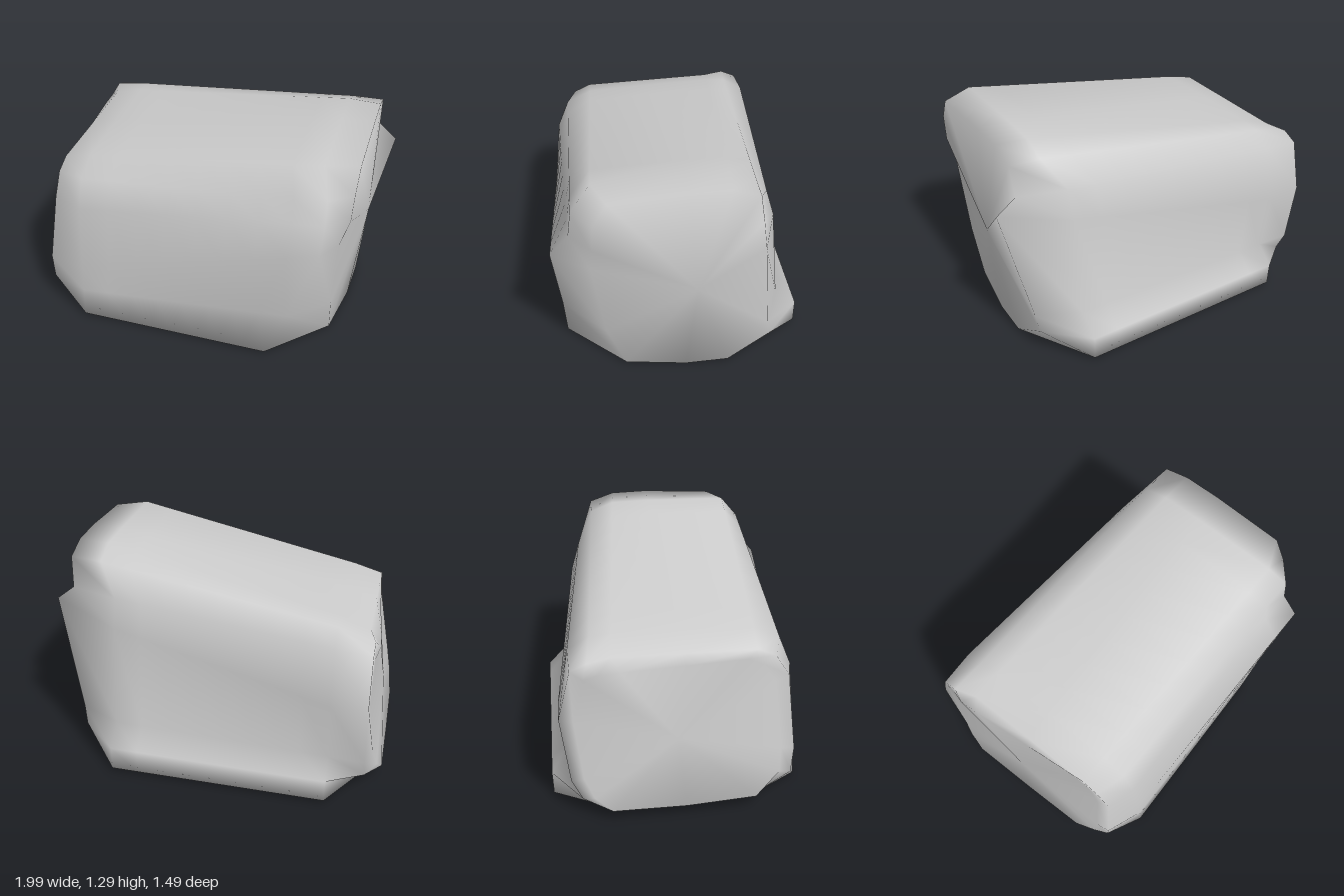
import * as THREE from 'three';
import { mergeVertices } from 'three/addons/utils/BufferGeometryUtils.js';

const clamp = (v) => Math.min(1, Math.max(0, v));

// Cross-sections as [z, y], from the front foot up, over the top and down the back
const leftEnd = [[0.45, 0.04], [0.6, 0.2], [0.61, 0.36], [0.57, 0.8], [0.49, 0.93], [0.39, 0.975], [0, 0.98], [-0.4, 0.985],
  [-0.53, 0.98], [-0.62, 0.94], [-0.69, 0.65], [-0.64, 0.25], [-0.58, 0.12], [-0.47, 0.03], [0, 0.02]];
const leftBody = [[0.69, 0.015], [0.68, 0.2], [0.665, 0.36], [0.62, 0.78], [0.55, 0.95], [0.4, 1.02], [0, 1.035], [-0.38, 1.04],
  [-0.5, 1.03], [-0.62, 0.96], [-0.685, 0.63], [-0.635, 0.26], [-0.745, 0.16], [-0.74, 0.02], [0, 0.015]];
const rightBody = [[0.68, 0.01], [0.695, 0.35], [0.74, 0.87], [0.635, 0.99], [0.615, 1.14], [0.5, 1.28], [0, 1.29], [-0.24, 1.285],
  [-0.38, 1.23], [-0.48, 1.05], [-0.53, 0.88], [-0.59, 0.27], [-0.72, 0.165], [-0.72, 0.02], [0, 0.005]];
const rightEnd = [[0.35, 0.01], [0.46, 0.3], [0.53, 0.8], [0.52, 0.97], [0.51, 1.13], [0.43, 1.27], [0, 1.295], [-0.22, 1.29],
  [-0.37, 1.24], [-0.4, 1.06], [-0.39, 0.97], [-0.48, 0.28], [-0.5, 0.17], [-0.25, 0.01], [0, 0]];

// The left end leans inward, more so at the front, and is cut off at the back corner
const leftX = (z, y) => -1 + 0.07 * y + 0.1 * y * (z + 0.5) + 0.4 * Math.max(0, -0.46 - z);
const leftEdgeX = (z, y) => (z < -0.5 ? -0.9 : z > 0.5 && y > 0.1 && y < 0.6 ? -0.92 : -0.86);

// The front foot stops short of the overhanging ridge peak; the back is shorter too
const bodyX = (z, y) => {
  if (z > 0.55) return Math.min(0.76, 0.46 + 0.36 * y);
  return z < -0.45 ? 0.6 : 0.71;
};

// The right end has a flap bulging out behind its front block
const rightX = (z, y) => 0.83 + 0.05 * y
  + (0.03 + 0.09 * y) * clamp((0.4 - z) / 0.8) * clamp((1.06 - y) / 0.06);
const rightEdgeX = (z, y) => {
  const inset = z < -0.45 ? 0.05 : z > 0.3 && y < 0.9 ? 0.04 : 0;
  return rightX(z, y) - inset;
};

const ring = (profile, scale, cz, cy, xAt) => profile.map(([z, y]) => {
  const pz = cz + (z - cz) * scale, py = cy + (y - cy) * scale;
  return new THREE.Vector3(xAt(pz, py), py, pz);
});

function rockGeometry() {
  const stations = [
    ...[0, 0.88].map((s) => ring(leftEnd, s, -0.05, 0.5, leftX)),
    ring(leftEnd, 1, 0, 0, leftEdgeX),
    ring(leftBody, 1, 0, 0, () => -0.69),
    ring(rightBody, 1, 0, 0, bodyX),
    ring(rightEnd, 1, 0, 0, rightEdgeX),
    ring(rightEnd, 0, -0.05, 0.65, rightX),
  ];

  // Fill in the long middle span so its twisted faces stay smooth
  const rings = [];
  stations.forEach((station, i) => {
    const steps = i === 3 ? 8 : 1;
    for (let k = 0; k < steps; k++) {
      rings.push(k ? station.map((p, j) => p.clone().lerp(stations[i + 1][j], k / steps)) : station);
    }
  });

  const n = leftEnd.length;
  const positions = rings.flat().flatMap((p) => [p.x, p.y, p.z]);
  const index = [];
  for (let i = 0; i < rings.length - 1; i++) {
    for (let j = 0; j < n; j++) {
      const a = i * n + j, b = i * n + (j + 1) % n, c = a + n, d = b + n;
      index.push(a, c, b, b, c, d);
    }
  }
  const loops = new THREE.BufferGeometry();
  loops.setAttribute('position', new THREE.Float32BufferAttribute(positions, 3));
  loops.setIndex(index);
  const skin = mergeVertices(loops, 1e-4);
  skin.computeVertexNormals();
  return skin;
}

export function createModel() {
  const stone = new THREE.MeshStandardMaterial({ color: 0xcccccc });
  stone.name = 'stone grey';
  const rock = new THREE.Mesh(rockGeometry(), stone);
  rock.name = 'boulder';
  const group = new THREE.Group();
  group.name = 'rock';
  group.add(rock);
  return group;
}
